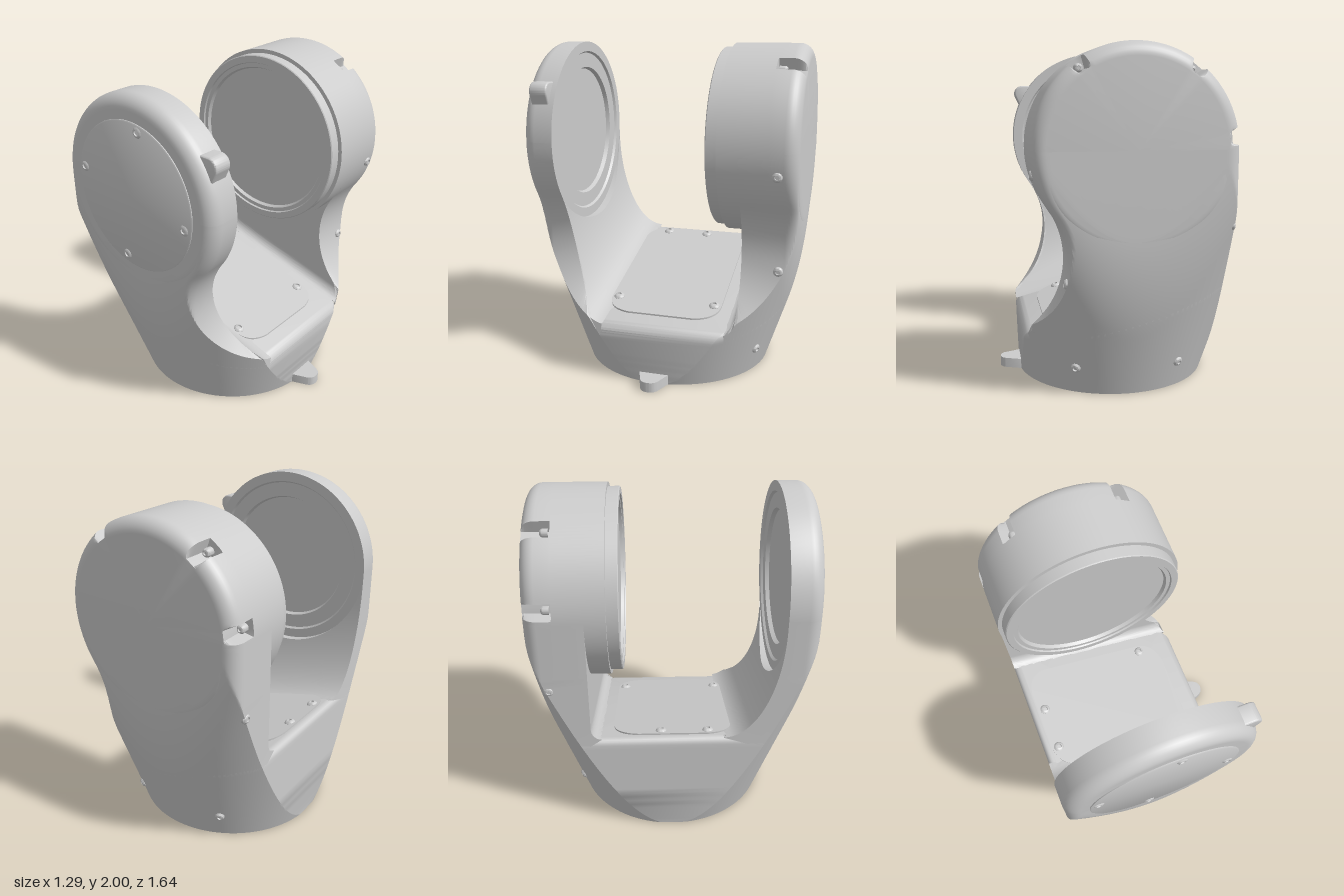
import * as THREE from 'three';
import { toCreasedNormals } from 'three/addons/utils/BufferGeometryUtils.js';

const CX = -0.07, CY = 1.43, R = 0.57;      // joint axis and head radius
const FACE = 0.814;                         // depth of the flat arm faces
const { lerp, clamp, smoothstep } = THREE.MathUtils;
const mat = new THREE.MeshStandardMaterial({ color: 0xcccccc });

// Outline rules: sloped floor and side edges by height
const floorY = x => 0.635 - 0.275 * (x + 0.55);
const leftX = y => -0.65 + 0.01 * Math.min(1, y / 0.7);
const rightX = y => y > 1.094
  ? CX + Math.sqrt(Math.max(0, R * R - (y - CY) ** 2))
  : Math.min(0.52, 0.795 - Math.sqrt(Math.max(0, 0.25 - (y - 0.8) ** 2)));

// Drop from a flat face at distance d from an edge rounded by r
const roundOff = (d, r) => r - Math.sqrt(Math.max(0, r * r - Math.max(0, r - Math.max(0, d)) ** 2));

// Outer face depth: a widening cone blended into the flat face, with rounded arm edges
function outerZ(x, y) {
  const cone = Math.sqrt(Math.max(0, (0.59 + 0.33 * y) ** 2 - (x + 0.065) ** 2));
  const blend = Math.max(0, 0.1 - Math.abs(cone - FACE));
  const body = Math.min(cone, FACE) - blend * blend / 0.4;
  const right = roundOff(rightX(y) - x, 0.08 * smoothstep(y, 0.36, 0.65));
  const left = roundOff(x - leftX(y), 0.08 * smoothstep(y, 0.6, 1.1));
  return Math.min(body, FACE - Math.max(left, right));
}

function add(parent, name, geometry) {
  const mesh = new THREE.Mesh(geometry, mat);
  mesh.name = name;
  parent.add(mesh);
  return mesh;
}

// Skin closed rings of points into one surface
function skin(rings, flip = false) {
  const n = rings[0].length, index = [];
  for (let i = 0; i < rings.length - 1; i++) {
    for (let j = 0; j < n; j++) {
      const a = i * n + j, b = i * n + (j + 1) % n, c = b + n, d = a + n;
      if (flip) index.push(a, c, b, a, d, c);
      else index.push(a, b, c, a, c, d);
    }
  }
  const g = new THREE.BufferGeometry();
  g.setAttribute('position', new THREE.Float32BufferAttribute(rings.flat(2), 3));
  g.setIndex(index);
  return toCreasedNormals(g, 0.6);
}

// Turned part around the joint axis, profile given as [radius, z] with z rising outside
function turned(profile, segments = 96, rule) {
  const g = new THREE.LatheGeometry(profile.map(p => new THREE.Vector2(...p)), segments);
  g.rotateX(Math.PI / 2);
  if (rule) rule(g.attributes.position);
  g.translate(CX, CY, 0);
  return toCreasedNormals(g, 0.6);
}

// Quarter round from angle a0 to a1 for turned profiles
const arc = (r, z, rad, a0, a1) => Array.from({ length: 9 }, (_, i) => {
  const a = lerp(a0, a1, i / 8);
  return [r + rad * Math.cos(a), z + rad * Math.sin(a)];
});

// Column fractions across a section, closer together at the edges
const fraction = (j, n) => (Math.sin((j / n - 0.5) * Math.PI) + 1) / 2;

// Base: round foot widening upwards with flat sides, cut by the sloped floor
function baseGeometry() {
  const N = 48;
  const ring = (t, a) => {
    const inset = 0.05 * (1 - Math.cos(a)), front = [];
    for (let j = 0; j <= N; j++) {
      let y = 0.5 * t, x;
      for (let n = 0; n < 6; n++) {
        x = lerp(leftX(y) + inset, 0.52 - inset, fraction(j, N));
        y = (floorY(x) - 0.05) * t + 0.05 * Math.sin(a);
      }
      front.push([x, y, outerZ(x, y) - inset]);
    }
    return [...front, ...front.map(([x, y, z]) => [x, y, -z]).reverse()];
  };
  const rings = [];
  for (let i = 0; i <= 20; i++) rings.push(ring(i / 20, 0));
  for (let i = 1; i <= 6; i++) rings.push(ring(1, i / 6 * Math.PI / 2));
  const centre = y => rings[0].map(() => [-0.065, y, 0]);
  return skin([centre(0), ...rings, centre(floorY(-0.065))]);
}

// Arm: outer wall and filleted inner wall, ending on the round head
function armGeometry(side, z0, dz, rise) {
  const N = 52, M = 50;
  const inner = (x, y) => {
    const k = clamp((y - floorY(x)) / rise, 0, 1);
    return z0 + dz * Math.sqrt(1 - (1 - k) ** 2);
  };
  // Where the inner wall meets the outer face, searched outward from the middle
  const edge = (limit, y) => {
    if (outerZ(limit, y) >= inner(limit, y)) return limit;
    let a = -0.17, b = limit;
    for (let n = 0; n < 24; n++) {
      const m = (a + b) / 2;
      if (outerZ(m, y) >= inner(m, y)) a = m; else b = m;
    }
    return a;
  };
  const across = (y, f) => lerp(edge(leftX(y), y), edge(rightX(y), y), f);
  const rings = [];
  for (let i = 0; i <= M + 1; i++) {
    const t = Math.min(1, i / M) ** 1.5, ring = [];
    for (let j = 0; j <= N; j++) {
      const f = fraction(j, N);
      const y = lerp(floorY(-0.64 + 1.14 * f) - 0.08, CY, t), x = across(y, f);
      ring.push([x, y, side * outerZ(x, y)]);
    }
    for (let j = N; j >= 0; j--) {
      const a = (j / N - 0.5) * Math.PI;
      const topY = CY - R * Math.cos(a), xl = leftX(topY);
      const f = clamp((CX + R * Math.sin(a) - xl) / (rightX(topY) - xl), 0, 1);
      const y = lerp(floorY(-0.64 + 1.14 * f) - 0.003, topY, t), x = across(y, f);
      ring.push([x, y, side * (i > M ? 0.65 : inner(x, y))]);
    }
    rings.push(ring);
  }
  return skin(rings, side < 0);
}

// Domed screw with a small socket, pointing along a direction
function screw(parent, position, direction, r = 0.036) {
  const profile = [[r, -0.03], [r, 0.004], [r * 0.75, 0.014], [r * 0.45, 0.017], [r * 0.4, 0.008], [0, 0.008]];
  const g = new THREE.LatheGeometry(profile.map(p => new THREE.Vector2(...p)), 18);
  const m = add(parent, 'screw', toCreasedNormals(g, 0.6));
  m.position.set(...position);
  m.quaternion.setFromUnitVectors(new THREE.Vector3(0, 1, 0), new THREE.Vector3(...direction).normalize());
}

export function createModel() {
  const model = new THREE.Group();
  model.name = 'jointBracket';

  add(model, 'base', baseGeometry());
  add(model, 'frontArm', armGeometry(1, 0.3, 0.32, 0.7));
  add(model, 'backArm', armGeometry(-1, 0.42, 0.06, 0.07));

  // Front head with a recessed inner face, and its round cover
  const flat = FACE - 0.0005;
  add(model, 'frontHead', turned([[0, 0.66], [0.4, 0.66], [0.41, 0.635], [0.5, 0.635], [0.51, 0.62], [R, 0.62],
    ...arc(0.49, flat - 0.08, 0.08, 0, Math.PI / 2), [0, flat]]));
  add(model, 'frontCover', turned([[0.437, 0.8], [0.437, 0.818], [0.43, 0.822], [0, 0.822]]));
  for (const [x, y] of [[0, 1.82], [-0.455, 1.51], [0.31, 1.36], [-0.15, 1.05]])
    screw(model, [x, y, 0.812], [0, 0, 1]);

  // Back drum with screw pockets pressed into its rear edge
  const pockets = [[-0.34, 0.457], [0.33, 0.465], [-0.566, 0.07]];
  const drum = [[0, -flat], ...arc(0.49, 0.08 - flat, 0.08, -Math.PI / 2, 0), [R, -0.652], [R, -0.648],
    [R, -0.36], [0.545, -0.36], [0.545, -0.295], [0.54, -0.29], [0.5, -0.29], [0.495, -0.3],
    [0.47, -0.3], [0.46, -0.32], [0, -0.32]];
  add(model, 'backDrum', turned(drum, 180, pos => {
    for (let i = 0; i < pos.count; i++) {
      const x = pos.getX(i), y = pos.getY(i), r = Math.hypot(x, y);
      const hit = pockets.some(([px, py]) => Math.hypot(x / r - px / R, y / r - py / R) < 0.075);
      if (hit && r > 0.5 && pos.getZ(i) < -0.65) pos.setXY(i, x / r * 0.5, y / r * 0.5);
    }
  }));
  for (const [px, py] of pockets)
    screw(model, [CX + px * 0.92, CY + py * 0.92, -0.69], [0, 0, -1], 0.024);

  // Nearly flush screws along the back arm and low on the back of the base
  for (const [x, y, s] of [[0.483, 1.3, 1], [0.303, 0.7, 1], [-0.63, 1, -1]])
    screw(model, [x, y, -0.7], [s, 0, 0], 0.03);
  for (const s of [-1, 1]) screw(model, [-0.065 + s * 0.302, 0.17, -0.569], [s * 0.45, -0.3, -0.85], 0.03);

  // Floor plate following the slope
  const plate = new THREE.Shape();
  const x0 = -0.585, x1 = 0.39, h = 0.355, q = 0.15;
  plate.moveTo(x0 + q, -h).lineTo(x1 - q, -h);
  plate.quadraticCurveTo(x1 - 0.02, -h, x1, -h + q).lineTo(x1, h - q);
  plate.quadraticCurveTo(x1 - 0.02, h, x1 - q, h).lineTo(x0 + q, h);
  plate.quadraticCurveTo(x0 + 0.02, h, x0, h - q).lineTo(x0, -h + q);
  plate.quadraticCurveTo(x0 + 0.02, -h, x0 + q, -h);
  const plateGeo = new THREE.ExtrudeGeometry(plate, { depth: 0.03, bevelEnabled: false });
  plateGeo.rotateX(-Math.PI / 2);
  const pos = plateGeo.attributes.position;
  for (let i = 0; i < pos.count; i++) pos.setY(i, pos.getY(i) - 0.02 + floorY(pos.getX(i)));
  plateGeo.computeVertexNormals();
  add(model, 'floorPlate', plateGeo);
  for (const [x, z] of [[-0.54, -0.07], [-0.54, 0.21], [0.25, 0.31], [0.25, -0.31]])
    screw(model, [x, floorY(x) + 0.008, z], [0.275, 1, 0], 0.033);

  // Locating tab at the foot
  const tab = new THREE.Shape();
  tab.moveTo(0.4, -0.09).lineTo(0.52, -0.09).lineTo(0.61, -0.055);
  tab.quadraticCurveTo(0.645, -0.04, 0.645, 0).quadraticCurveTo(0.645, 0.04, 0.61, 0.055);
  tab.lineTo(0.52, 0.09).lineTo(0.4, 0.09);
  const tabGeo = new THREE.ExtrudeGeometry(tab, { depth: 0.06, bevelEnabled: false });
  tabGeo.rotateX(-Math.PI / 2);
  add(model, 'footTab', toCreasedNormals(tabGeo, 0.6));

  // Rounded lug on the front head
  const lug = new THREE.Shape();
  lug.moveTo(0.32, 1.77).lineTo(0.43, 1.77).absarc(0.43, 1.725, 0.045, Math.PI / 2, -0.5, true);
  lug.lineTo(0.44, 1.64).lineTo(0.36, 1.64);
  const lugGeo = new THREE.ExtrudeGeometry(lug,
    { depth: 0.09, bevelSize: 0.01, bevelThickness: 0.01, bevelSegments: 3, curveSegments: 16 });
  lugGeo.translate(0, 0, 0.66);
  add(model, 'headLug', toCreasedNormals(lugGeo, 0.6));

  return model;
}
